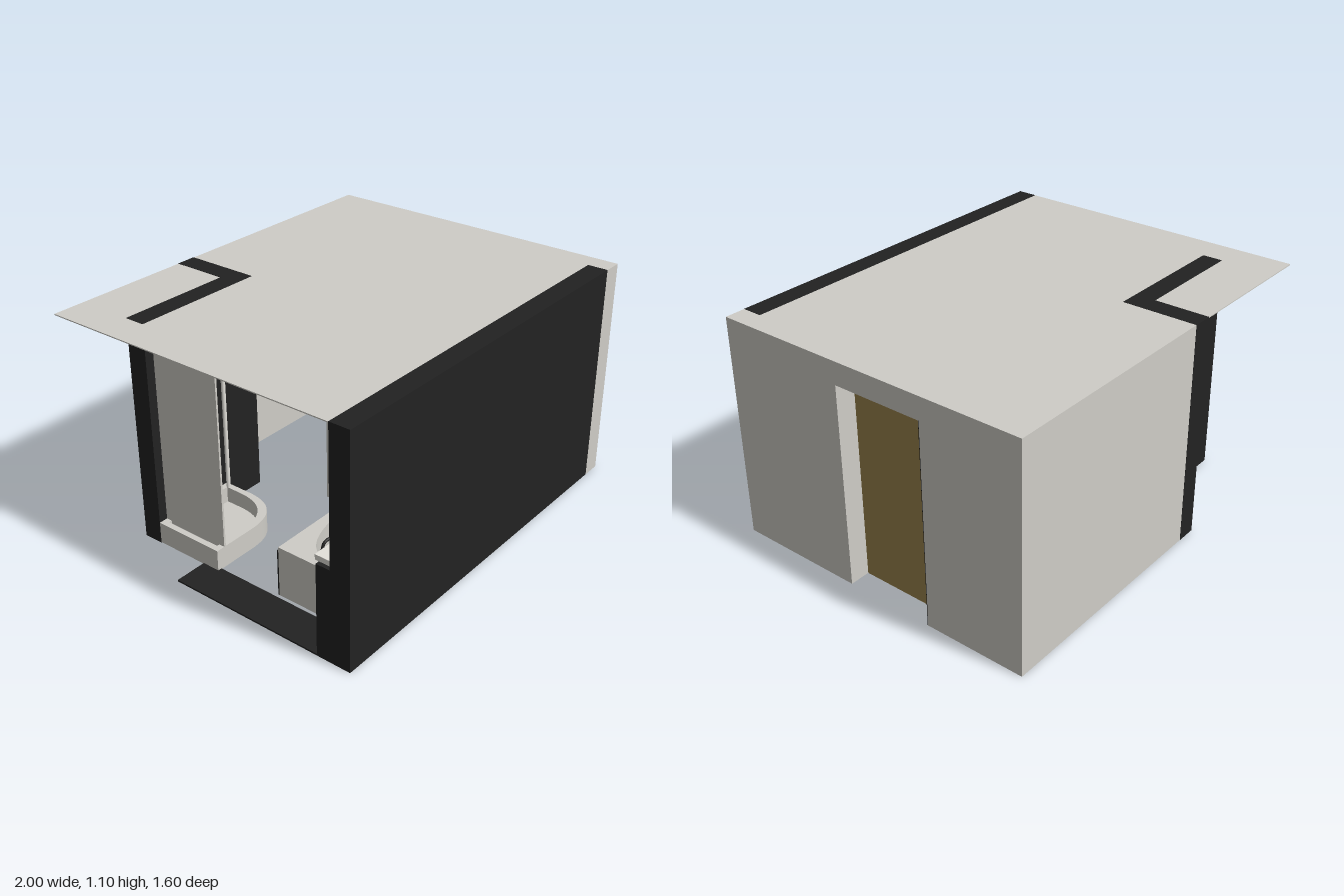
import * as THREE from 'three';

const mat = (name, color, side = THREE.FrontSide) => {
  const m = new THREE.MeshStandardMaterial({ color, side });
  m.name = name;
  return m;
};

export function createModel() {
  const room = new THREE.Group();
  room.name = 'bathroom';
  const plaster = mat('pale plaster', 0xcfcdc7);
  const black = mat('black tile', 0x222222);
  const wood = mat('door wood', 0x9b834c);
  const ceramic = mat('white ceramic', 0xe4e2dc, THREE.DoubleSide);

  const add = (name, geo, material, parent = room) => {
    const m = new THREE.Mesh(geo, material);
    m.name = name;
    parent.add(m);
    return m;
  };
  // Box given by its limits on each axis
  const box = (name, material, x0, x1, y0, y1, z0, z1, parent = room) => {
    const m = add(name, new THREE.BoxGeometry(x1 - x0, y1 - y0, z1 - z0), material, parent);
    m.position.set((x0 + x1) / 2, (y0 + y1) / 2, (z0 + z1) / 2);
    return m;
  };

  // Ceiling slab and outer walls
  box('ceiling', plaster, -1, 1, 1.094, 1.099, -0.8, 0.7);
  box('backWall', plaster, -0.17, 0.9, 0, 1.094, -0.8, -0.7);
  box('frontWall', black, -1, 0.9, 0, 1.1, 0.7, 0.8);
  box('sideWallFront', plaster, 0.9, 1, 0, 1.099, 0.15, 0.8);
  box('sideWallBack', plaster, 0.9, 1, 0, 1.094, -0.8, -0.3);
  box('doorLintel', plaster, 0.9, 1, 0.99, 1.094, -0.3, 0.15);

  // Black stepped wall around the corner recess
  box('recessWallShort', black, -0.27, -0.17, 0, 1.1, -0.801, -0.43);
  box('recessWallLong', black, -0.84, -0.27, 0, 1.1, -0.53, -0.43);
  box('floorSill', black, -1, -0.82, 0, 0.008, -0.16, 0.7);

  // Door set back in its opening
  box('door', wood, 0.87, 0.9, 0, 0.99, -0.3, 0.15);
  box('doorJamb', black, 0.9, 0.999, 0, 0.99, -0.3, -0.296);
  for (const x of [0.86, 0.91]) box('doorKnob', black, x - 0.012, x + 0.012, 0.478, 0.512, -0.257, -0.223);

  // Boxed half wall, ledge and upper band inside the front wall
  box('halfWall', plaster, -0.8, 0.9, 0.004, 0.45, 0.63, 0.7);
  box('halfWallBase', black, -0.8, 0.9, 0, 0.004, 0.63, 0.7);
  box('halfWallEnd', black, -1, -0.8, 0, 0.45, 0.63, 0.7);
  box('ledge', ceramic, -0.98, 0.9, 0.45, 0.475, 0.61, 0.7);
  box('upperBand', plaster, -1, 0.9, 0.78, 1.094, 0.692, 0.7);
  box('wallPanel', black, -0.9, -0.2, 0.87, 0.97, 0.685, 0.692);
  for (const x of [-0.62, -0.5, 0.02, 0.1]) {
    const tap = add('wallTap', new THREE.CylinderGeometry(0.014, 0.014, 0.05, 16), ceramic);
    tap.rotation.x = Math.PI / 2;
    tap.position.set(x, 0.55, 0.675);
  }

  // Bathtub: block with an oval hollow and a black apron
  const tub = new THREE.Group();
  tub.name = 'bathtub';
  room.add(tub);
  const rim = new THREE.Shape();
  rim.moveTo(-0.4, -0.185).lineTo(0.4, -0.185).lineTo(0.4, 0.185).lineTo(-0.4, 0.185).closePath();
  rim.holes.push(new THREE.Path().absellipse(0, 0, 0.33, 0.145, 0, Math.PI * 2, true));
  const body = add('tubBody', new THREE.ExtrudeGeometry(rim, { depth: 0.24, bevelEnabled: false, curveSegments: 32 }), plaster, tub);
  body.rotation.x = -Math.PI / 2;
  body.position.set(-0.4, 0.012, 0.44);
  box('tubBase', plaster, -0.8, 0, 0.004, 0.03, 0.255, 0.625, tub);
  box('tubApronFront', black, -0.8, 0.004, 0.004, 0.235, 0.248, 0.255, tub);
  box('tubApronEnd', black, 0, 0.007, 0.004, 0.235, 0.248, 0.625, tub);

  // Arched black tap on the tub rim
  const spout = new THREE.CatmullRomCurve3([[0, 0], [0, 0.12], [-0.03, 0.16], [-0.07, 0.155], [-0.085, 0.11]]
    .map(([d, y]) => new THREE.Vector3(-0.75 - d, 0.25 + y, 0.54 + d * 0.2)));
  const spoutMesh = add('tubSpout', new THREE.TubeGeometry(spout, 24, 0.007, 10), black, tub);
  spoutMesh.scale.x = -1;
  spoutMesh.position.x = -1.5;
  spoutMesh.geometry.scale(-1, 1, 1);
  spoutMesh.scale.x = 1;
  spoutMesh.position.x = -1.5;
  spoutMesh.material = black;
  spoutMesh.geometry.index.array.reverse();
  const tapBase = add('tapBase', new THREE.CylinderGeometry(0.016, 0.016, 0.05, 16), black, tub);
  tapBase.position.set(-0.75, 0.275, 0.54);

  // Toilet and bidet: oval bowl on a tapered foot
  const bowlProfile = [[0, 0.1], [0.05, 0.11], [0.08, 0.15], [0.095, 0.2], [0.095, 0.215], [0.075, 0.215], [0.06, 0.16], [0, 0.14]]
    .map(([r, y]) => new THREE.Vector2(r, y));
  for (const [name, x] of [['toilet', 0.67], ['bidet', 0.35]]) {
    const g = new THREE.Group();
    g.name = name;
    g.position.set(x, 0, 0.5);
    room.add(g);
    add('bowl', new THREE.LatheGeometry(bowlProfile, 32), ceramic, g).scale.z = 1.3;
    const foot = add('foot', new THREE.CylinderGeometry(0.06, 0.045, 0.13, 24), ceramic, g);
    foot.scale.z = 1.4;
    foot.position.set(0, 0.07, 0.03);
    box('wallMount', ceramic, -0.07, 0.07, 0.1, 0.21, 0.06, 0.13, g);
    if (name === 'toilet') {
      const lid = add('lid', new THREE.CylinderGeometry(0.1, 0.1, 0.015, 32), ceramic, g);
      lid.scale.z = 1.3;
      lid.position.y = 0.222;
    }
  }

  // Shower tray with one rounded corner, sunk basin and tall screen
  const trayOutline = (inset) => {
    const s = new THREE.Shape(), x0 = -0.84 + inset, x1 = -0.4 - inset, z0 = 0.43 - inset, z1 = 0.07 + inset, r = 0.22;
    s.moveTo(x0, z1).lineTo(x1 - r, z1);
    s.quadraticCurveTo(x1, z1, x1, z1 + r);
    s.lineTo(x1, z0).lineTo(x0, z0).closePath();
    return s;
  };
  const shower = new THREE.Group();
  shower.name = 'shower';
  room.add(shower);
  const slab = (name, shape, y, depth) => {
    const m = add(name, new THREE.ExtrudeGeometry(shape, { depth, bevelEnabled: false, curveSegments: 20 }), plaster, shower);
    m.rotation.x = -Math.PI / 2;
    m.position.y = y;
  };
  const trayRim = trayOutline(0);
  trayRim.holes.push(trayOutline(0.03));
  slab('trayRim', trayRim, 0.03, 0.08);
  slab('trayBase', trayOutline(0), 0.004, 0.026);
  box('showerScreen', plaster, -0.795, -0.785, 0.03, 0.98, -0.43, -0.07, shower);
  const pole = add('showerPole', new THREE.CylinderGeometry(0.01, 0.01, 0.8, 16), ceramic, shower);
  pole.position.set(-0.42, 0.5, -0.4);
  const head = add('showerHead', new THREE.CylinderGeometry(0.05, 0.05, 0.015, 24), ceramic, shower);
  head.position.set(-0.44, 0.9, -0.36);

  return room;
}
